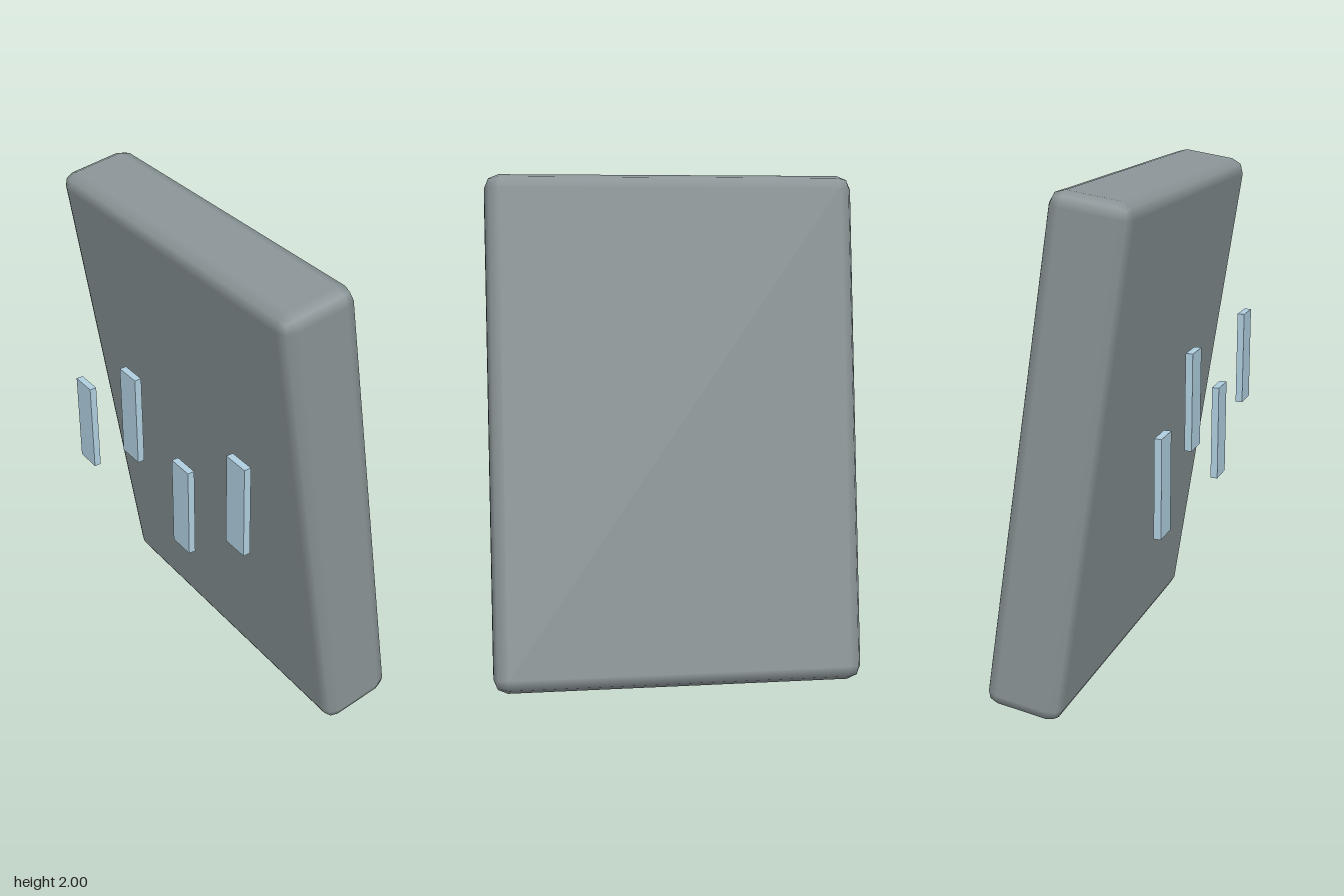
import * as THREE from 'three';
import { RoundedBoxGeometry } from 'three/addons/geometries/RoundedBoxGeometry.js';

export function createModel() {
  const model = new THREE.Group();
  const slabMaterial = new THREE.MeshStandardMaterial({ color: 0x8a9496 });
  const tabMaterial = new THREE.MeshStandardMaterial({ color: 0xb0cfe0 });

  // Thick slab with softened edges, leaning forward at the top
  const slab = new THREE.Mesh(new RoundedBoxGeometry(1.44, 1.99, 0.31, 1, 0.055), slabMaterial);
  slab.name = 'slab';
  slab.position.set(0, 1.005, -0.034);
  slab.rotation.x = 0.15;
  model.add(slab);

  // Four upright tabs floating before the slab, alternating low and high
  const tabs = new THREE.Group();
  tabs.name = 'tabs';
  const tabGeometry = new THREE.BoxGeometry(0.108, 0.38, 0.028);
  for (let i = 0; i < 4; i++) {
    const tab = new THREE.Mesh(tabGeometry, tabMaterial);
    tab.name = `tab${i + 1}`;
    tab.position.set(-0.516 + i * 0.3537, i % 2 ? 1.165 : 0.94, 0.314);
    tabs.add(tab);
  }
  model.add(tabs);

  return model;
}
